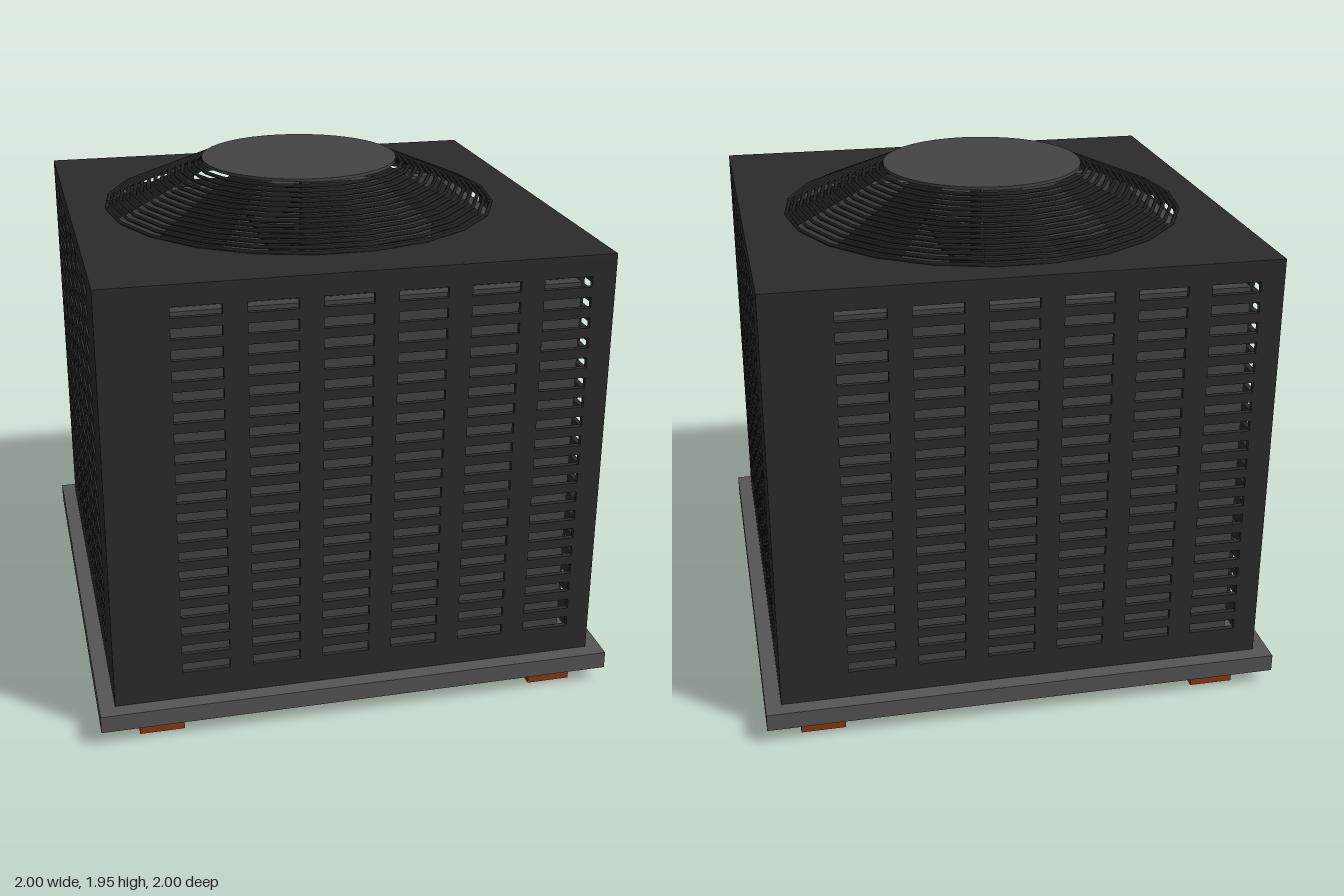
import * as THREE from 'three';

const mat = (color, side = THREE.FrontSide) => new THREE.MeshStandardMaterial({ color, side });
const CABINET = mat(0x2b2b2b);
const SLAB = mat(0x555555);
const WOOD = mat(0x8b3a0e);
const COIL = mat(0x444444);
const CAP = mat(0x444444);
const WIRE = mat(0x222222);
const SPOKE = mat(0x1a1a1a, THREE.DoubleSide);

const HALF = 0.94, BOTTOM = 0.13, TOP = 1.77, WALL = 0.02;
const FAN_X = -0.013, FAN_Z = -0.05;

function add(parent, name, geometry, material, x = 0, y = 0, z = 0) {
  const mesh = new THREE.Mesh(geometry, material);
  mesh.name = name;
  mesh.position.set(x, y, z);
  parent.add(mesh);
  return mesh;
}

function rectangle(PathType, x0, y0, x1, y1) {
  return new PathType([[x0, y0], [x1, y0], [x1, y1], [x0, y1]].map(([x, y]) => new THREE.Vector2(x, y)));
}

// Wall panel pierced by a 6 x 19 grid of slots; dir flips the sideways offset of the grid
function louverPanel(half, dir) {
  const shape = rectangle(THREE.Shape, -half, BOTTOM, half, TOP - WALL);
  for (let col = 0; col < 6; col++) {
    const cx = dir * (0.76 - col * 0.27);
    for (let row = 0; row < 19; row++) {
      const cy = 0.26 + row * 0.0783;
      shape.holes.push(rectangle(THREE.Path, cx - 0.091, cy - 0.02, cx + 0.091, cy + 0.02));
    }
  }
  return new THREE.ExtrudeGeometry(shape, { depth: WALL, bevelEnabled: false });
}

function createCabinet() {
  const g = new THREE.Group();
  g.name = 'cabinet';
  const wide = louverPanel(HALF, 1).translate(0, 0, HALF - WALL);
  const narrow = louverPanel(HALF - WALL, -1).translate(0, 0, HALF - WALL);
  ['frontPanel', 'leftPanel', 'backPanel', 'rightPanel'].forEach((name, i) => {
    add(g, name, i % 2 ? narrow : wide, CABINET).rotation.y = i * Math.PI / 2;
  });

  // Lid with the round fan opening
  const lid = rectangle(THREE.Shape, -HALF, -HALF, HALF, HALF);
  const hole = new THREE.Path();
  hole.absarc(FAN_X, -FAN_Z, 0.765, 0, Math.PI * 2, true);
  lid.holes.push(hole);
  const lidGeometry = new THREE.ExtrudeGeometry(lid, { depth: WALL, bevelEnabled: false, curveSegments: 32 });
  add(g, 'lid', lidGeometry, CABINET, 0, TOP - WALL).rotation.x = -Math.PI / 2;
  return g;
}

// Hollow square coil standing behind the slots
function createCoil() {
  const g = new THREE.Group();
  g.name = 'coil';
  const outer = 0.85, t = 0.05, h = 1.64 - BOTTOM;
  for (let i = 0; i < 4; i++) {
    const side = new THREE.Group();
    side.name = 'coilSide';
    side.rotation.y = i * Math.PI / 2;
    const width = 2 * (i % 2 ? outer - t : outer);
    add(side, 'coilWall', new THREE.BoxGeometry(width, h, t), COIL, 0, BOTTOM + h / 2, outer - t / 2);
    g.add(side);
  }
  add(g, 'floorPan', new THREE.BoxGeometry(1.6, 0.02, 1.6), SPOKE, 0, BOTTOM + 0.01);
  return g;
}

// Domed guard: rings on eight tapered spokes under a flat cap
function createGuard() {
  const g = new THREE.Group();
  g.name = 'fanGuard';
  g.position.set(FAN_X, 0, FAN_Z);
  const rings = 14;
  for (let i = 0; i < rings; i++) {
    const f = i / rings;
    const ring = new THREE.TorusGeometry(0.777 - 0.39 * f, 0.008, 4, 22);
    add(g, 'guardRing', ring, WIRE, 0, 1.776 + 0.165 * f).rotation.x = Math.PI / 2;
  }
  const arc = THREE.MathUtils.degToRad(22);
  for (let i = 0; i < 8; i++) {
    const spoke = new THREE.CylinderGeometry(0.38, 0.775, 0.175, 4, 1, true, i * Math.PI / 4 - arc / 2, arc);
    add(g, 'guardSpoke', spoke, SPOKE, 0, 1.8525);
  }
  add(g, 'guardCap', new THREE.CylinderGeometry(0.39, 0.39, 0.012, 40), CAP, 0, 1.944);
  return g;
}

// Fan hanging from the cap on its shaft
function createFan() {
  const g = new THREE.Group();
  g.name = 'fan';
  add(g, 'fanShaft', new THREE.CylinderGeometry(0.022, 0.022, 0.46, 12), WIRE, 0, 1.71);
  add(g, 'fanHub', new THREE.CylinderGeometry(0.11, 0.11, 0.12, 20), WIRE, 0, 1.5);
  for (let i = 0; i < 4; i++) {
    const arm = new THREE.Group();
    arm.name = 'fanBlade';
    arm.rotation.y = i * Math.PI / 2;
    add(arm, 'blade', new THREE.BoxGeometry(0.55, 0.012, 0.26), SPOKE, 0.36, 1.5).rotation.x = 0.35;
    g.add(arm);
  }
  return g;
}

export function createModel() {
  const model = new THREE.Group();
  model.name = 'outdoorCoolingUnit';

  // Timber runners and slab
  add(model, 'rightRunner', new THREE.BoxGeometry(0.17, 0.065, 1.9), WOOD, -0.767, 0.0325);
  add(model, 'leftRunner', new THREE.BoxGeometry(0.17, 0.065, 1.9), WOOD, 0.785, 0.0325);
  add(model, 'slab', new THREE.BoxGeometry(2, 0.068, 2), SLAB, 0, 0.096);

  model.add(createCabinet(), createCoil(), createGuard(), createFan());
  return model;
}
